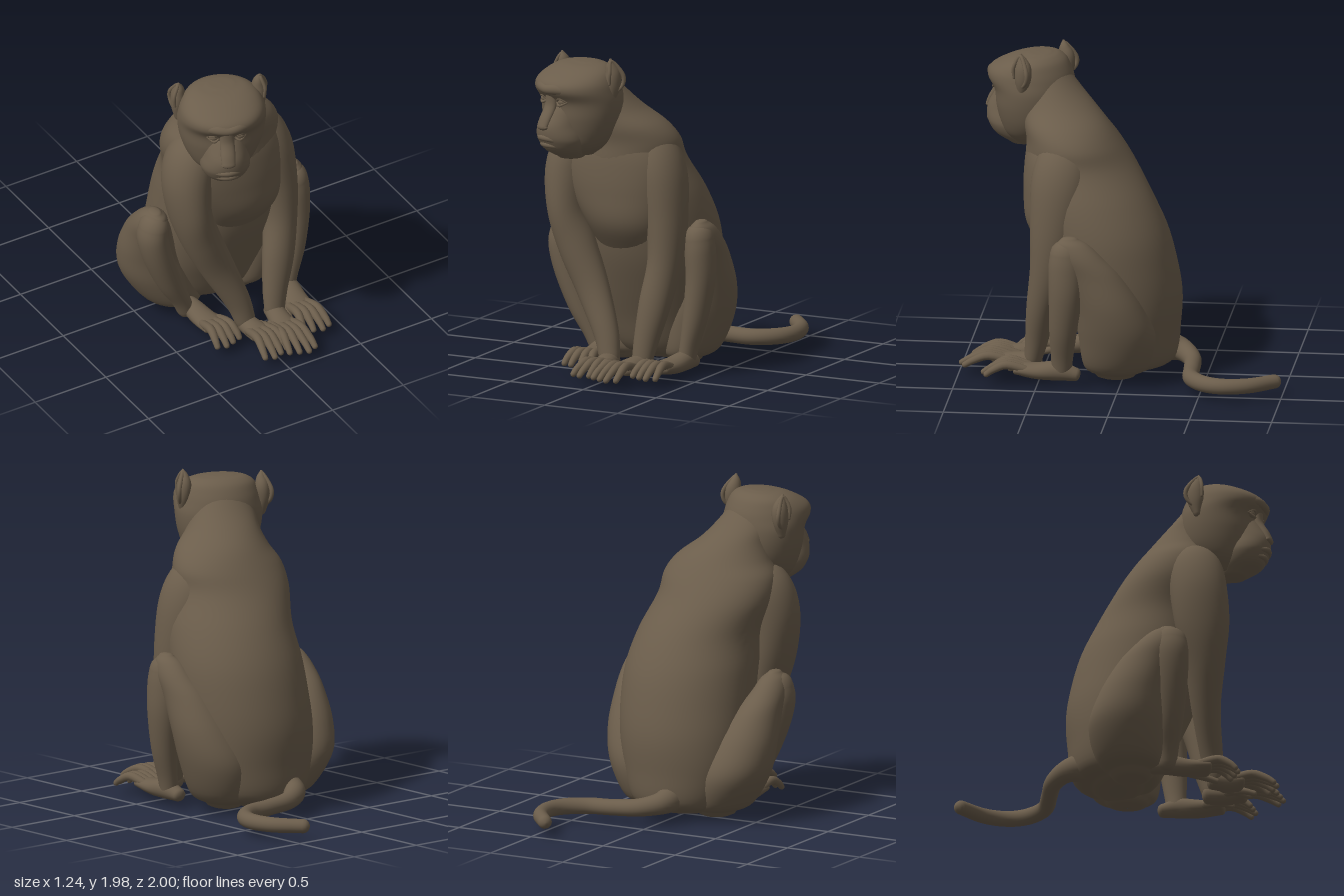
import * as THREE from 'three';

const fur = new THREE.MeshStandardMaterial({ color: 0x6b5d4b });
fur.name = 'brown fur';

const X = new THREE.Vector3(1, 0, 0), Y = new THREE.Vector3(0, 1, 0);

// Smooth closed loft. Rows are [x, y, z, r1, r2]; r1 lies along ref, r2 across it.
// With flat set, every section stays horizontal.
function loft(name, rows, { ref = X, flat = false, sides = 24, steps = 6, cap = flat ? 0.2 : 0.9 } = {}) {
  const path = new THREE.CatmullRomCurve3(rows.map(r => new THREE.Vector3(r[0], r[1], r[2])), false, 'catmullrom');
  const size = new THREE.CatmullRomCurve3(rows.map(r => new THREE.Vector3(r[3], r[4] ?? r[3], 0)), false, 'catmullrom');
  const n = (rows.length - 1) * steps, rings = [];
  for (let i = 0; i <= n; i++) {
    const c = path.getPoint(i / n), s = size.getPoint(i / n);
    const t = flat ? Y.clone() : path.getTangent(i / n);
    const ring = { c, t, r1: Math.max(s.x, 0.003), r2: Math.max(s.y, 0.003) };
    // Rounded ends
    const end = k => {
      const a = k * Math.PI / 2, d = Math.min(ring.r1, ring.r2) * cap * Math.sin(a) * (i ? 1 : -1), f = Math.max(Math.cos(a), 0.01);
      rings.push({ c: c.clone().addScaledVector(t, d), t, r1: ring.r1 * f, r2: ring.r2 * f });
    };
    if (i === 0) [1, 0.8, 0.55, 0.3].forEach(end);
    rings.push(ring);
    if (i === n) [0.3, 0.55, 0.8, 1].forEach(end);
  }
  const pos = [], index = [];
  rings.forEach(({ c, t, r1, r2 }, i) => {
    const u = ref.clone().addScaledVector(t, -ref.dot(t)).normalize();
    const v = t.clone().cross(u);
    for (let j = 0; j < sides; j++) {
      const a = j / sides * Math.PI * 2;
      const p = c.clone().addScaledVector(u, r1 * Math.cos(a)).addScaledVector(v, r2 * Math.sin(a));
      pos.push(p.x, p.y, p.z);
      if (i === rings.length - 1) continue;
      const a0 = i * sides + j, a1 = i * sides + (j + 1) % sides;
      index.push(a0, a1, a1 + sides, a0, a1 + sides, a0 + sides);
    }
  });
  const g = new THREE.BufferGeometry();
  g.setAttribute('position', new THREE.Float32BufferAttribute(pos, 3));
  g.setIndex(index);
  g.computeVertexNormals();
  const m = new THREE.Mesh(g, fur);
  m.name = name;
  return m;
}

function ball(name, x, y, z, rx, ry, rz) {
  const m = new THREE.Mesh(new THREE.SphereGeometry(1, 20, 14), fur);
  m.name = name;
  m.position.set(x, y, z);
  m.scale.set(rx, ry, rz);
  return m;
}

function group(name, ...parts) {
  const g = new THREE.Group();
  g.name = name;
  if (parts.length) g.add(...parts);
  return g;
}

// Four long digits and a thumb fanning forward from a palm; inner is the thumb's side
function digits(name, x, z, length, inner, lean = 0) {
  const g = group(name);
  for (let i = 0; i < 4; i++) {
    const o = (i - 1.5) / 1.5, l = length * (1 - 0.14 * Math.abs(o + inner * 0.3)), dx = x + o * 0.056;
    g.add(loft('digit', [
      [dx, 0.085, z - 0.06, 0.026], [dx + o * 0.01 + lean * 0.3, 0.115, z + l * 0.3, 0.027],
      [dx + o * 0.022 + lean * 0.7, 0.085, z + l * 0.7, 0.022], [dx + o * 0.026 + lean, 0.055, z + l - 0.02, 0.018]
    ], { sides: 12, steps: 4 }));
  }
  g.add(loft('thumb', [
    [x + inner * 0.05, 0.07, z - 0.1, 0.027], [x + inner * 0.088, 0.065, z - 0.02, 0.022], [x + inner * 0.098, 0.045, z + 0.06, 0.017]
  ], { sides: 12, steps: 4 }));
  return g;
}

// Leg, drawn for the left side; the right one is mirrored and splayed a little more
function leg(side) {
  const right = side < 0;
  const thighRow = ([y, cx, cz, hw, hd]) => right
    ? [-cx - 0.06 * Math.min(1, y / 0.3), y * 0.935, cz - 0.06 * y, hw + 0.025 * (1 - y), hd] : [cx, y, cz, hw, hd];
  const shinRow = ([x, y, z, a, b]) => right
    ? [-x - 0.08 + 0.18 * Math.max(0, 1 - y / 0.75), y > 0.2 ? y * 0.935 : y, z - 0.06 - 0.05 * Math.max(0, 1 - y / 0.6), a, b] : [x, y, z, a, b];
  const fx = right ? -0.225 : 0.315, fz = right ? 0.5 : 0.62;
  const ax = right ? -0.25 : 0.365;
  return group(right ? 'rightLeg' : 'leftLeg',
    loft('thigh', [
      [0.035, 0.2, 0.04, 0.1, 0.13], [0.1, 0.24, 0.03, 0.165, 0.2], [0.3, 0.285, 0.02, 0.205, 0.235], [0.5, 0.345, 0.06, 0.185, 0.205],
      [0.7, 0.4, 0.145, 0.13, 0.165], [0.82, 0.43, 0.225, 0.097, 0.135], [0.9, 0.435, 0.275, 0.07, 0.1], [0.94, 0.437, 0.295, 0.035, 0.05]
    ].map(thighRow), { flat: true, sides: 32, cap: 0.35 }),
    loft('shin', [
      [0.433, 0.85, 0.312, 0.088, 0.1], [0.442, 0.75, 0.314, 0.092, 0.108], [0.445, 0.58, 0.318, 0.088, 0.102], [0.42, 0.36, 0.335, 0.076, 0.085],
      [0.385, 0.18, 0.345, 0.058, 0.068], [0.365, 0.08, 0.35, 0.055, 0.06]
    ].map(shinRow)),
    loft('foot', [
      [ax, 0.065, fz - 0.36, 0.045, 0.04], [ax, 0.085, fz - 0.25, 0.06, 0.06], [(ax + fx) / 2, 0.075, fz - 0.12, 0.075, 0.05], [fx, 0.08, fz, 0.085, 0.035]
    ], { cap: 0.6 }),
    digits('toes', fx, fz, right ? 0.2 : 0.23, -side, right ? 0 : -0.005));
}

function arm(name, rows, hx, hz, inner, length) {
  const w = rows[rows.length - 1];
  return group(name, loft('armLength', rows, { sides: 28 }),
    loft('palm', [
      [w[0], 0.085, w[2] - 0.02, 0.06, 0.055], [(w[0] + hx) / 2, 0.078, (w[2] + hz) / 2, 0.068, 0.055], [hx, 0.08, hz, 0.083, 0.04]
    ], { cap: 0.6 }),
    digits('fingers', hx, hz, length, inner, -0.01));
}

// Pointed ear: a thick tapering shell with a thin rim round its hollow
function ear(side) {
  const drop = side < 0 ? -0.035 : 0, s = side, out = side < 0 ? 0.02 : 0, f = side < 0 ? 0 : 0.025;
  const place = ([x, y, z, ...r]) => [s * (x + out), y + drop, z + f, ...r];
  return group(side < 0 ? 'rightEar' : 'leftEar',
    loft('earShell', [
      [0.235, 1.72, 0.0, 0.025, 0.025], [0.24, 1.8, -0.01, 0.04, 0.05], [0.235, 1.87, -0.012, 0.045, 0.052],
      [0.232, 1.925, 0, 0.03, 0.034], [0.236, 1.965, 0.008, 0.008, 0.009]
    ].map(place), { sides: 20 }),
    loft('earRim', [
      [0.245, 1.74, 0.015, 0.01], [0.275, 1.8, -0.05, 0.012], [0.278, 1.87, -0.055, 0.014],
      [0.24, 1.955, 0.005, 0.011], [0.265, 1.89, 0.038, 0.011], [0.262, 1.82, 0.038, 0.009]
    ].map(place), { sides: 10 }));
}

function makeHead() {
  // Rows: height, front, back, half width
  const stack = rows => rows.map(([y, f, b, w]) => [0, y, (f + b) / 2, w, (f - b) / 2]);
  const head = group('head',
    loft('skull', stack([
      [1.36, 0.18, -0.02, 0.1], [1.42, 0.24, -0.1, 0.175], [1.5, 0.27, -0.16, 0.225], [1.6, 0.29, -0.18, 0.257], [1.7, 0.3, -0.18, 0.27],
      [1.775, 0.35, -0.17, 0.265], [1.83, 0.335, -0.15, 0.25], [1.88, 0.25, -0.12, 0.215], [1.91, 0.17, -0.08, 0.16], [1.922, 0.1, -0.04, 0.09]
    ]), { flat: true, sides: 40, cap: 0.05 }),
    loft('muzzle', stack([
      [1.35, 0.23, 0.06, 0.08], [1.4, 0.32, 0.06, 0.125], [1.455, 0.358, 0.06, 0.15], [1.5, 0.375, 0.06, 0.15],
      [1.56, 0.375, 0.06, 0.135], [1.62, 0.345, 0.06, 0.125], [1.69, 0.3, 0.06, 0.11], [1.74, 0.27, 0.06, 0.08]
    ]), { flat: true, sides: 36 }),
    loft('noseBridge', [[0, 1.78, 0.3, 0.045, 0.03], [0, 1.68, 0.305, 0.045, 0.03], [0, 1.6, 0.35, 0.045, 0.027], [0, 1.555, 0.374, 0.042, 0.022]]),
    loft('browRidge', [
      [-0.22, 1.755, 0.14, 0.02], [-0.14, 1.78, 0.265, 0.027], [-0.07, 1.79, 0.315, 0.034], [0, 1.785, 0.335, 0.03],
      [0.07, 1.79, 0.315, 0.034], [0.14, 1.78, 0.265, 0.027], [0.22, 1.755, 0.14, 0.02]
    ], { ref: Y }),
    loft('upperLip', [[-0.125, 1.455, 0.24, 0.01], [-0.07, 1.477, 0.332, 0.016], [0, 1.488, 0.365, 0.02], [0.07, 1.477, 0.332, 0.016], [0.125, 1.455, 0.24, 0.01]], { ref: Y, sides: 14 }),
    loft('lowerLip', [[-0.1, 1.43, 0.25, 0.01], [-0.06, 1.438, 0.322, 0.014], [0, 1.442, 0.345, 0.018], [0.06, 1.438, 0.322, 0.014], [0.1, 1.43, 0.25, 0.01]], { ref: Y, sides: 14 }));
  for (const s of [-1, 1]) {
    const lid = dy => loft(dy > 0 ? 'upperEyelid' : 'lowerEyelid', [
      [s * 0.045, 1.708, 0.295, 0.006], [s * 0.08, 1.712 + dy, 0.306, 0.009], [s * 0.12, 1.712, 0.278, 0.006]
    ], { ref: Y, sides: 10 });
    head.add(ball('eye', s * 0.08, 1.712, 0.283, 0.032, 0.024, 0.025), lid(0.022), lid(-0.022),
      ball('nostril', s * 0.026, 1.555, 0.372, 0.018, 0.014, 0.016), ear(s));
  }
  head.position.set(-0.205, 0, 0.52);
  head.rotation.y = -0.4;
  return head;
}

export function createModel() {
  const model = group('sittingMonkey');
  // Upright masses as rows of height, centre x, centre z, half width, half depth
  const trunk = (name, rows) => loft(name, rows.map(([y, x, z, a, b]) => [x, y, z, a, b]), { flat: true, sides: 48 });

  model.add(
    trunk('torso', [
      [0.04, 0, -0.03, 0.2, 0.15], [0.1, 0, -0.04, 0.3, 0.265], [0.3, 0, -0.01, 0.37, 0.325], [0.5, 0.01, 0.03, 0.4, 0.375],
      [0.7, 0.02, 0.085, 0.41, 0.4], [0.9, 0.02, 0.14, 0.405, 0.4], [1.1, 0, 0.215, 0.38, 0.38], [1.3, -0.07, 0.285, 0.37, 0.33],
      [1.43, -0.075, 0.325, 0.36, 0.285], [1.53, -0.08, 0.37, 0.3, 0.255], [1.63, -0.13, 0.42, 0.225, 0.215],
      [1.73, -0.18, 0.47, 0.19, 0.17], [1.85, -0.22, 0.52, 0.15, 0.12]
    ]),
    trunk('chest', [
      [0.72, 0, 0.33, 0.2, 0.14], [0.92, -0.01, 0.4, 0.27, 0.2], [1.12, -0.05, 0.425, 0.33, 0.2],
      [1.3, -0.08, 0.425, 0.35, 0.195], [1.42, -0.09, 0.41, 0.31, 0.19], [1.5, -0.1, 0.41, 0.22, 0.17]
    ]),
    makeHead(), leg(1), leg(-1),
    arm('leftArm', [
      [0.05, 1.45, 0.34, 0.09, 0.12], [0.15, 1.36, 0.355, 0.14, 0.165], [0.215, 1.2, 0.375, 0.15, 0.18], [0.26, 0.94, 0.405, 0.125, 0.15],
      [0.265, 0.7, 0.44, 0.105, 0.115], [0.225, 0.45, 0.49, 0.1, 0.09], [0.185, 0.24, 0.52, 0.08, 0.072], [0.165, 0.1, 0.545, 0.065, 0.055]
    ], 0.13, 0.74, -1, 0.265),
    arm('rightArm', [
      [-0.24, 1.45, 0.4, 0.09, 0.12], [-0.33, 1.36, 0.41, 0.15, 0.165], [-0.385, 1.2, 0.43, 0.15, 0.175], [-0.38, 0.97, 0.455, 0.125, 0.165],
      [-0.31, 0.75, 0.475, 0.12, 0.125], [-0.2, 0.5, 0.49, 0.105, 0.09], [-0.09, 0.25, 0.53, 0.08, 0.07], [-0.05, 0.1, 0.56, 0.065, 0.055]
    ], -0.025, 0.71, 1, 0.24),
    loft('tail', [
      [-0.05, 0.15, -0.23, 0.1], [-0.035, 0.125, -0.34, 0.07], [0.08, 0.1, -0.415, 0.055], [0.25, 0.085, -0.43, 0.05], [0.41, 0.08, -0.445, 0.05],
      [0.53, 0.08, -0.535, 0.05], [0.575, 0.08, -0.66, 0.048], [0.54, 0.08, -0.81, 0.046], [0.43, 0.08, -0.955, 0.043]
    ], { ref: Y }));

  return model;
}
